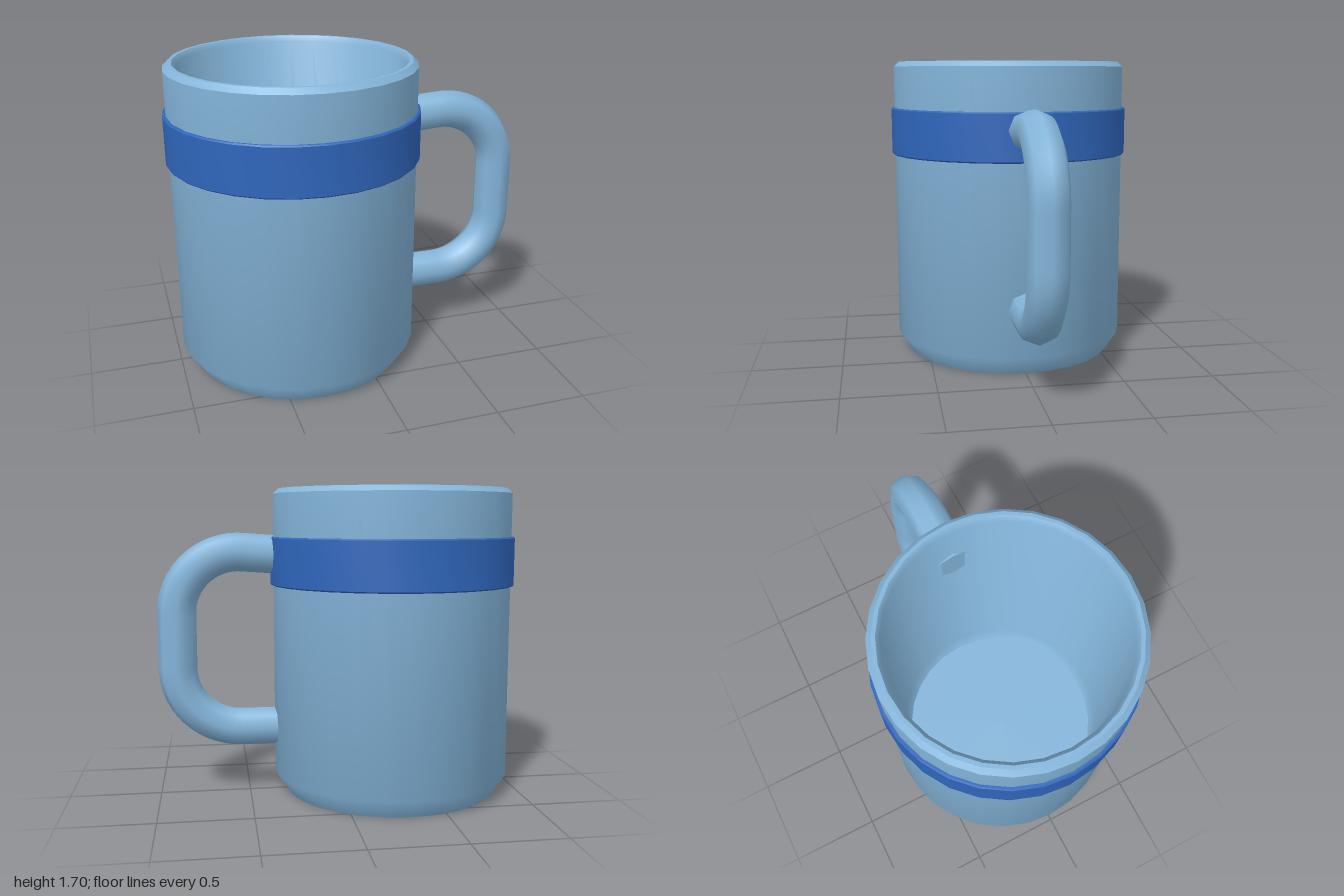
import * as THREE from 'three';
import { toCreasedNormals } from 'three/addons/utils/BufferGeometryUtils.js';

const SIDES = 28;
const CUP_X = -0.3125;
const TUBE_R = 0.106;

const v2 = (x, y) => new THREE.Vector2(x, y);
const v3 = (x, y) => new THREE.Vector3(x, y, 0);

// Revolves a list of [radius, height] pairs about the cup's axis
function turned(name, profile, crease, material) {
  const lathe = new THREE.LatheGeometry(profile.map(([r, y]) => v2(r, y)), SIDES);
  const mesh = new THREE.Mesh(toCreasedNormals(lathe, crease), material);
  mesh.name = name;
  mesh.position.x = CUP_X;
  return mesh;
}

// Quarter bend with a circular feel between two straight runs
function bend(from, corner, to) {
  const k = 0.5523;
  return new THREE.CubicBezierCurve3(
    from, from.clone().lerp(corner, k), to.clone().lerp(corner, k), to);
}

export function createModel() {
  const glaze = new THREE.MeshStandardMaterial({ color: 0x84b5da });
  glaze.name = 'light blue glaze';
  const bandBlue = new THREE.MeshStandardMaterial({ color: 0x2f66bb });
  bandBlue.name = 'deep blue band';

  const mug = new THREE.Group();
  mug.name = 'mug';

  // Hollow cup: base, outer wall, bevelled rim, inner wall and floor
  mug.add(turned('cup', [
    [0, 0], [0.6, 0], [0.668, 0.105], [0.668, 1.672], [0.64, 1.7],
    [0.62, 1.7], [0.6, 1.672], [0.6, 0.16], [0.565, 0.1], [0, 0.1],
  ], 0.75, glaze));

  // Raised band with a small bevel on its edges
  mug.add(turned('band', [
    [0.655, 1.17], [0.679, 1.17], [0.686, 1.177],
    [0.686, 1.43], [0.679, 1.437], [0.655, 1.437],
  ], 0.7, bandBlue));

  // Handle: a bent tube whose ends are set into the wall
  const path = new THREE.CurvePath();
  const topBend = v3(0.55, 1.354), sideTop = v3(0.891, 1.02);
  const sideLow = v3(0.891, 0.71), lowBend = v3(0.54, 0.37);
  path.add(new THREE.LineCurve3(v3(0.28, 1.335), topBend));
  path.add(bend(topBend, v3(0.891, 1.354), sideTop));
  path.add(new THREE.LineCurve3(sideTop, sideLow));
  path.add(bend(sideLow, v3(0.891, 0.37), lowBend));
  path.add(new THREE.LineCurve3(lowBend, v3(0.31, 0.37)));

  const handle = new THREE.Group();
  handle.name = 'handle';
  const tube = new THREE.Mesh(new THREE.TubeGeometry(path, 48, TUBE_R, 8), glaze);
  tube.name = 'handleTube';
  handle.add(tube);

  // Caps closing both ends of the tube
  for (const [x, y] of [[0.28, 1.335], [0.31, 0.37]]) {
    const cap = new THREE.Mesh(new THREE.CircleGeometry(TUBE_R, 8), glaze);
    cap.name = 'handleCap';
    cap.position.set(x, y, 0);
    cap.rotation.y = -Math.PI / 2;
    handle.add(cap);
  }
  mug.add(handle);
  return mug;
}
